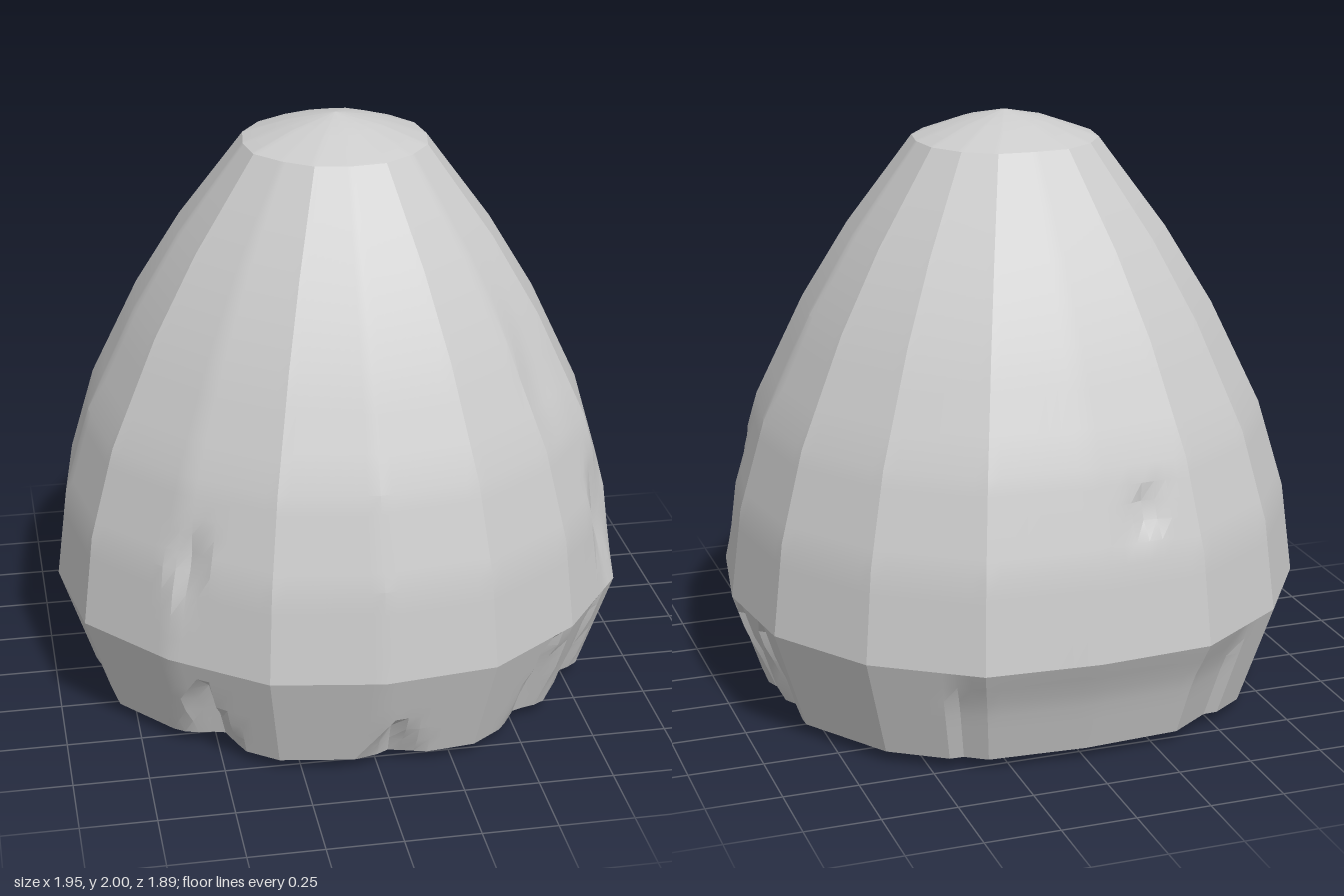
import * as THREE from 'three';
import { toCreasedNormals } from 'three/addons/utils/BufferGeometryUtils.js';

// Radius at each of the 16 corners, counted from +x towards +z
const CORNERS = [0.975, 0.985, 0.965, 0.975, 0.945, 0.96, 0.945, 0.99,
  0.975, 1, 1, 1, 0.95, 1, 1, 1];
// Outline of the mound: relative radius, height
const PROFILE = [[0.88, 0.04], [1, 0.39], [0.96, 0.7], [0.87, 1], [0.7, 1.35],
  [0.54, 1.61], [0.315, 1.91], [0.16, 1.965], [0, 2]];
const ROWS = [6, 4, 5, 3, 2, 2, 1, 1];   // subdivisions of each outline step
const SPLIT = 8;                         // subdivisions of each facet
// Tapered notches at the foot: angle, height, half width, depth
const NOTCHES = [[130, 0.29, 9, 0.08], [87, 0.2, 9, 0.05], [50, 0.38, 8, 0.05],
  [32, 0.37, 8, 0.07], [357, 0.37, 6, 0.05], [346, 0.37, 6, 0.05], [190, 0.25, 7, 0.04],
  [172, 0.22, 6, 0.03]];
// Shallow dents higher up: angle, height, half width, half height, depth
const DENTS = [[24, 0.65, 7, 0.24, 0.05], [132, 0.72, 5, 0.14, 0.035],
  [258, 0.85, 5, 0.07, 0.035], [37, 1.2, 9, 0.2, 0.015]];
// Broad chipped recess round the back of the foot
const RECESS = { from: 235, to: 300, height: 0.38, depth: 0.025 };

const angleGap = (a, b) => Math.abs(((a - b + 540) % 360) - 180);

// How far the surface is pushed in at an angle and height
function wear(deg, y) {
  let d = 0;
  for (const [a, h, w, depth] of NOTCHES) {
    if (y < h) d += depth * Math.max(0, 1 - angleGap(deg, a) / (w * (1.15 - y / h)));
  }
  for (const [a, cy, w, h, depth] of DENTS) {
    d += depth * Math.max(0, 1 - Math.hypot(angleGap(deg, a) / w, (y - cy) / h));
  }
  if (deg > RECESS.from && deg < RECESS.to && y < RECESS.height) d += RECESS.depth * Math.min(1, (RECESS.height - y) * 8);
  return d;
}

// Straight-sided outline of the mound at column i
function corner(k) {
  const a = (k * Math.PI) / 8;
  const r = CORNERS[k % 16];
  return new THREE.Vector2(Math.cos(a) * r, Math.sin(a) * r);
}

function moundGeometry() {
  const columns = 16 * SPLIT;
  const rings = [];
  ROWS.forEach((n, s) => {
    const [r0, y0] = PROFILE[s];
    const [r1, y1] = PROFILE[s + 1];
    for (let j = 0; j < n; j++) rings.push([r0 + (r1 - r0) * j / n, y0 + (y1 - y0) * j / n]);
  });
  rings.push(PROFILE[PROFILE.length - 1]);

  const positions = [];
  const index = [];
  for (const [r, y] of rings) {
    for (let i = 0; i < columns; i++) {
      const k = Math.floor(i / SPLIT);
      const p = corner(k).lerp(corner(k + 1), (i % SPLIT) / SPLIT).multiplyScalar(r);
      const deg = (Math.atan2(p.y, p.x) * 180 / Math.PI + 360) % 360;
      if (r > 0) p.multiplyScalar(1 - wear(deg, y) / p.length());
      positions.push(p.x, y, p.y);
    }
  }
  for (let j = 0; j < rings.length - 1; j++) {
    for (let i = 0; i < columns; i++) {
      const a = j * columns + i;
      const b = j * columns + (i + 1) % columns;
      index.push(a, a + columns, b);
      if (j < rings.length - 2) index.push(b, a + columns, b + columns);
    }
  }
  // Slightly bulging underside
  const mid = positions.length / 3;
  for (let i = 0; i < columns; i++) {
    positions.push(positions[i * 3] * 0.7, 0.01, positions[i * 3 + 2] * 0.7);
  }
  const centre = positions.length / 3;
  positions.push(0, 0, 0);
  for (let i = 0; i < columns; i++) {
    const n = (i + 1) % columns;
    index.push(i, n, mid + i, n, mid + n, mid + i, mid + i, mid + n, centre);
  }
  const geometry = new THREE.BufferGeometry();
  geometry.setAttribute('position', new THREE.Float32BufferAttribute(positions, 3));
  geometry.setIndex(index);
  return toCreasedNormals(geometry, 0.28);
}

export function createModel() {
  const group = new THREE.Group();
  group.name = 'rockMound';
  const stone = new THREE.MeshStandardMaterial({ color: 0xcccccc });
  stone.name = 'pale grey stone';
  const mound = new THREE.Mesh(moundGeometry(), stone);
  mound.name = 'mound';
  group.add(mound);
  return group;
}
